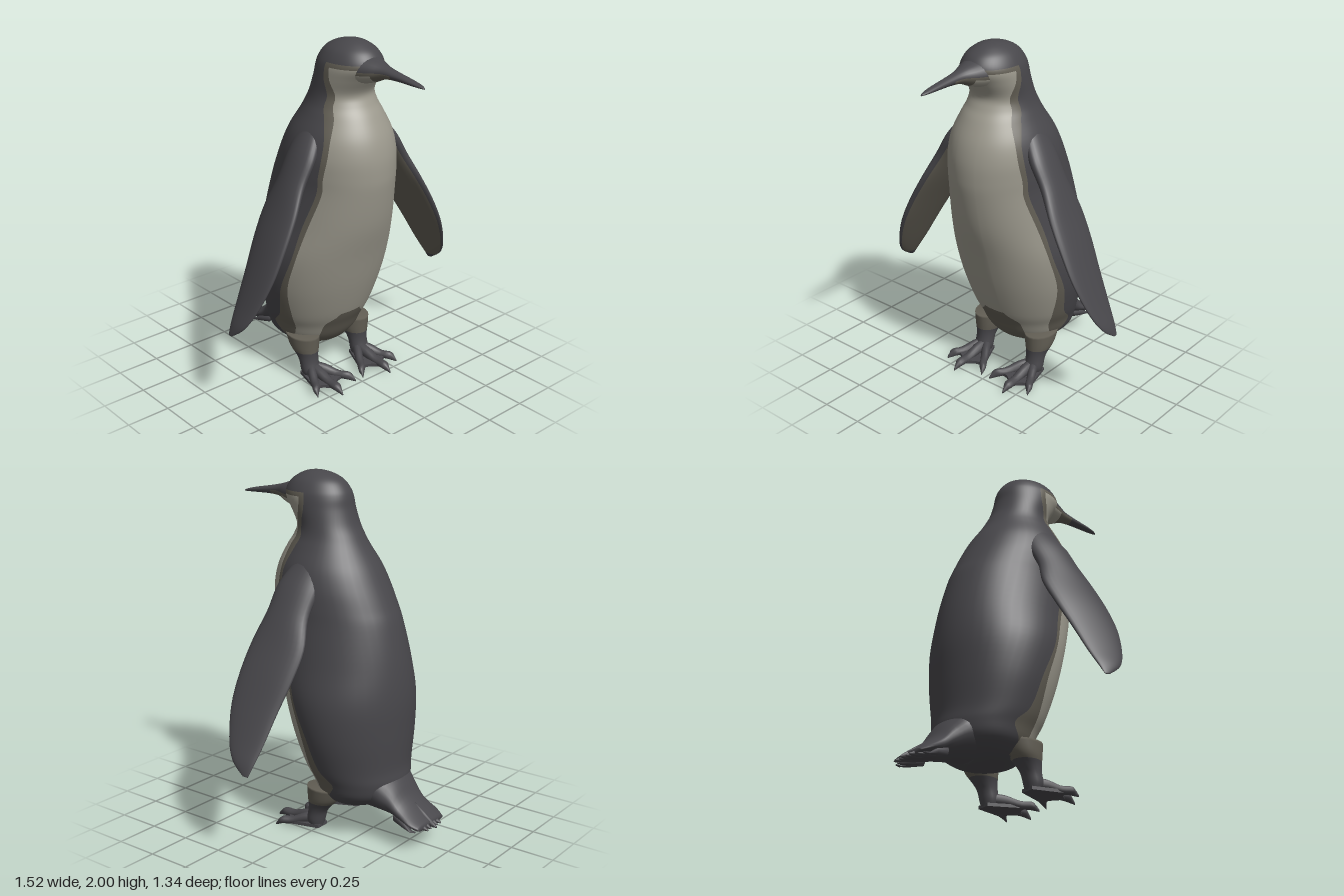
import * as THREE from 'three';

const mat = (name, color, extra = {}) => {
  const m = new THREE.MeshStandardMaterial({ color, ...extra });
  m.name = name;
  return m;
};
const DARK = 0, BROWN = 1, LIGHT = 2;

// Smoothly resample a table of rows, n steps between each pair
function resample(rows, n) {
  const out = [], at = i => rows[Math.min(rows.length - 1, Math.max(0, i))];
  for (let i = 0; i < rows.length - 1; i++) {
    for (let k = 0; k < n; k++) {
      const t = k / n, p = [at(i - 1), at(i), at(i + 1), at(i + 2)];
      out.push(rows[0].map((_, c) => {
        const [a, b, d, e] = p.map(r => r[c]);
        return b + 0.5 * t * (d - a + t * (2 * a - 5 * b + 4 * d - e + t * (3 * (b - d) + e - a)));
      }));
    }
  }
  out.push(rows[rows.length - 1]);
  return out;
}

// Skin closed rings of points, with capped ends and a colour per face
function loft(rings, colourOf, side = 1) {
  const pos = [], faces = [[], [], []], n = rings[0].length;
  rings.forEach(r => r.forEach(p => pos.push(p[0] * side, p[1], p[2])));
  const tri = (c, a, b, d) => faces[c].push(...(side > 0 ? [a, b, d] : [a, d, b]));
  for (let i = 0; i < rings.length - 1; i++) {
    for (let j = 0; j < n; j++) {
      const a = i * n + j, b = i * n + (j + 1) % n, c = colourOf(i, j);
      tri(c, a, b, b + n);
      tri(c, a, b + n, a + n);
    }
  }
  [0, rings.length - 1].forEach((i, end) => {
    const mid = [0, 1, 2].map(k => rings[i].reduce((s, p) => s + p[k], 0) / n);
    const m = pos.length / 3;
    pos.push(mid[0] * side, mid[1], mid[2]);
    for (let j = 0; j < n; j++) {
      const a = i * n + j, b = i * n + (j + 1) % n;
      const c = colourOf(Math.min(i, rings.length - 2), j);
      end ? tri(c, a, b, m) : tri(c, b, a, m);
    }
  });
  const g = new THREE.BufferGeometry();
  g.setAttribute('position', new THREE.Float32BufferAttribute(pos, 3));
  g.setIndex(faces.flat());
  let start = 0;
  faces.forEach((f, c) => {
    if (f.length) g.addGroup(start, f.length, c);
    start += f.length;
  });
  g.computeVertexNormals();
  return g;
}

const angles = n => Array.from({ length: n }, (_, j) => j / n * Math.PI * 2);

// Elliptical rings along z from rows [z, top, bottom, halfWidth, centreX]
const ringsAlongZ = (rows, n) => rows.map(([z, top, bot, w, x = 0]) => angles(n).map(a =>
  [x + w * Math.cos(a), (top + bot) / 2 + (top - bot) / 2 * Math.sin(a), z]));

// Body and head: [y, frontZ, backZ, halfWidth, belly angle, border angle]
const BODY = [
  [0.165, -0.06, -0.24, 0.08, 70, 84], [0.19, 0.01, -0.32, 0.18, 70, 84],
  [0.25, 0.065, -0.41, 0.255, 65, 80], [0.33, 0.105, -0.435, 0.287, 62, 93],
  [0.42, 0.15, -0.43, 0.32, 66, 82], [0.6, 0.215, -0.44, 0.362, 70, 78],
  [0.8, 0.275, -0.445, 0.374, 65, 69], [1.0, 0.335, -0.425, 0.338, 63, 68],
  [1.2, 0.372, -0.38, 0.305, 58, 63], [1.3, 0.38, -0.34, 0.297, 59, 64],
  [1.4, 0.375, -0.293, 0.288, 57, 63], [1.5, 0.35, -0.24, 0.262, 56, 63],
  [1.6, 0.3, -0.172, 0.212, 55, 69], [1.66, 0.26, -0.137, 0.184, 57, 72],
  [1.72, 0.24, -0.105, 0.171, 54, 69], [1.8, 0.285, -0.08, 0.167, 75, 87],
  [1.86, 0.325, -0.07, 0.162, 85, 95], [1.9, 0.325, -0.055, 0.15, 85, 95],
  [1.945, 0.295, -0.02, 0.122, 85, 95], [1.975, 0.25, 0.03, 0.085, 85, 95],
  [1.993, 0.205, 0.09, 0.045, 85, 95], [2.0, 0.155, 0.145, 0.004, 85, 95]];

function bodyGeometry() {
  const rows = resample(BODY, 5), rad = Math.PI / 180;
  const counts = [6, 9, 3, 14], half = 32;
  const rings = rows.map(([y, zf, zb, w, belly, border]) => {
    // columns follow the colour edges: lower patch, belly, border, back
    const patch = Math.asin(Math.min(0.6, 0.14 * Math.sqrt(Math.max(0.25, Math.min(1, (0.425 - y) * 14))) / w));
    const stops = [0, patch, belly * rad, border * rad, Math.PI], list = [];
    counts.forEach((n, s) => {
      for (let k = 0; k < n; k++) list.push(stops[s] + (stops[s + 1] - stops[s]) * k / n);
    });
    const all = [...list, Math.PI, ...list.slice(1).reverse().map(a => -a)];
    return all.map(a => [w * Math.sin(a), y, (zf + zb) / 2 + (zf - zb) / 2 * Math.cos(a)]);
  });
  return loft(rings, (i, j) => {
    const y = rows[i][0], k = j < half ? j : 2 * half - 1 - j;
    if (y > 1.885 || k >= 18 || y < 0.19) return DARK;
    if (k >= 15 || y > 1.865 || y < 0.23) return BROWN;
    return k < 6 && y < 0.415 ? BROWN : LIGHT;
  });
}

// Flipper, tip to shoulder: [x, y, leadingZ, trailingZ, halfThickness]
const FLIPPER = [
  [0.758, 0.488, 0.045, 0.015, 0.003], [0.735, 0.55, 0.13, 0, 0.014],
  [0.685, 0.65, 0.19, -0.02, 0.02], [0.605, 0.81, 0.235, -0.045, 0.028],
  [0.52, 0.97, 0.24, -0.075, 0.036], [0.435, 1.12, 0.225, -0.088, 0.042],
  [0.355, 1.27, 0.19, -0.055, 0.048], [0.275, 1.4, 0.18, -0.06, 0.055],
  [0.19, 1.52, 0.13, -0.06, 0.05]];

function flipperGeometry(side) {
  const n = 28, rows = resample(FLIPPER, 5);
  const rings = rows.map(([x, y, lead, trail, t]) => angles(n).map(a => {
    const c = (lead - trail) / 2 * Math.cos(a), out = t * Math.sin(a) + 0.16 * c;
    return [x + 0.89 * out, y + 0.45 * out, (lead + trail) / 2 + c];
  }));
  return loft(rings, (i, j) => (j > 15 && j < 26 && i > 2 && i < 34 ? BROWN : DARK), side);
}

// Leg: [y, frontZ, backZ, halfWidth]
const LEG = [
  [0.025, 0.05, -0.03, 0.045], [0.06, 0.065, -0.04, 0.055], [0.11, 0.055, -0.055, 0.056],
  [0.15, 0.052, -0.085, 0.062], [0.2, 0.055, -0.135, 0.078], [0.27, 0.06, -0.17, 0.085]];

function legGeometry(side) {
  const rows = resample(LEG, 4);
  const rings = rows.map(([y, zf, zb, w]) => angles(20).map(a =>
    [0.19 + w * Math.sin(a), y, (zf + zb) / 2 + (zf - zb) / 2 * Math.cos(a)]));
  return loft(rings, i => (rows[i][0] > 0.165 ? BROWN : DARK), side);
}

// Toe running forward from the ankle to a drooping claw
function toeGeometry(tipX, tipZ, side) {
  const rows = [[0, 0.1, 0.03, 0.035], [0.3, 0.09, 0.025, 0.032], [0.6, 0.06, 0.014, 0.026],
    [0.82, 0.058, 0.012, 0.026], [0.92, 0.04, 0.006, 0.013], [1, 0.014, 0.002, 0.003]]
    .map(([t, top, bot, w]) => [t * tipZ, top, bot, w, 0.18 + (tipX - 0.18) * t]);
  return loft(ringsAlongZ(resample(rows, 3), 12), () => DARK, side);
}

// Web of skin between the toes
function webGeometry(side) {
  const s = new THREE.Shape();
  s.moveTo(side * 0.15, -0.03);
  s.lineTo(side * 0.23, -0.03);
  s.lineTo(side * 0.285, 0.17);
  s.quadraticCurveTo(side * 0.235, 0.14, side * 0.185, 0.235);
  s.quadraticCurveTo(side * 0.12, 0.14, side * 0.055, 0.18);
  s.closePath();
  const g = new THREE.ExtrudeGeometry(s, { depth: 0.018, bevelEnabled: false, curveSegments: 8 });
  return g.rotateX(Math.PI / 2).translate(0, 0.036, 0);
}

export function createModel() {
  const model = new THREE.Group();
  model.name = 'penguin';
  const mats = [mat('dark plumage', 0x48474b), mat('brown grey border', 0x625e54), mat('pale belly', 0x9c998d)];
  const add = (name, geometry, material = mats, parent = model) => {
    const m = new THREE.Mesh(geometry, material);
    m.name = name;
    parent.add(m);
    return m;
  };

  add('body', bodyGeometry());

  // Beak: [z, top, bottom, halfWidth]
  const beak = resample([
    [0.16, 1.945, 1.79, 0.12], [0.25, 1.94, 1.782, 0.11], [0.33, 1.922, 1.802, 0.078],
    [0.4, 1.902, 1.832, 0.043], [0.48, 1.886, 1.84, 0.03], [0.58, 1.869, 1.839, 0.023],
    [0.64, 1.856, 1.838, 0.016], [0.67, 1.846, 1.838, 0.005]], 4);
  add('beak', loft(ringsAlongZ(beak, 24), (i, j) => {
    const z = beak[i][0];
    if (j < 12 || z > 0.44) return DARK;
    return z > 0.33 || j < 13 || j > 22 ? BROWN : LIGHT;
  }));

  // Tail with a ragged fan of feather tips
  const tail = new THREE.Group();
  tail.name = 'tail';
  model.add(tail);
  add('tailBase', loft(ringsAlongZ(resample([
    [-0.635, 0.152, 0.118, 0.12], [-0.58, 0.188, 0.126, 0.142], [-0.5, 0.255, 0.138, 0.138],
    [-0.44, 0.345, 0.148, 0.148], [-0.36, 0.43, 0.16, 0.18], [-0.25, 0.42, 0.17, 0.19]], 4), 28),
  () => DARK), mats, tail);
  for (let k = -4; k <= 4; k++) {
    const x = k * 0.03, tip = -0.672 + 0.0035 * k * k + (k % 2 ? 0.012 : 0);
    const drop = 0.0016 * k * k;
    add('tailFeather', loft(ringsAlongZ([
      [tip, 0.127, 0.118, 0.005, x * 1.05], [tip + 0.025, 0.148 - drop, 0.116, 0.014, x * 1.05],
      [tip + 0.08, 0.188 - drop, 0.124, 0.018, x], [tip + 0.15, 0.235 - drop * 2, 0.14, 0.014, x * 0.9]], 10),
    () => DARK), mats, tail);
  }

  // Mirrored limbs
  for (const side of [1, -1]) {
    const label = side > 0 ? 'left' : 'right';
    add(label + 'Flipper', flipperGeometry(side));
    add(label + 'Leg', legGeometry(side));
    const foot = new THREE.Group();
    foot.name = label + 'Foot';
    model.add(foot);
    add('web', webGeometry(side), mats[DARK], foot);
    [[0.305, 0.215], [0.185, 0.29], [0.03, 0.225]].forEach(([x, z]) =>
      add('toe', toeGeometry(x, z, side), mats, foot));
  }
  return model;
}
